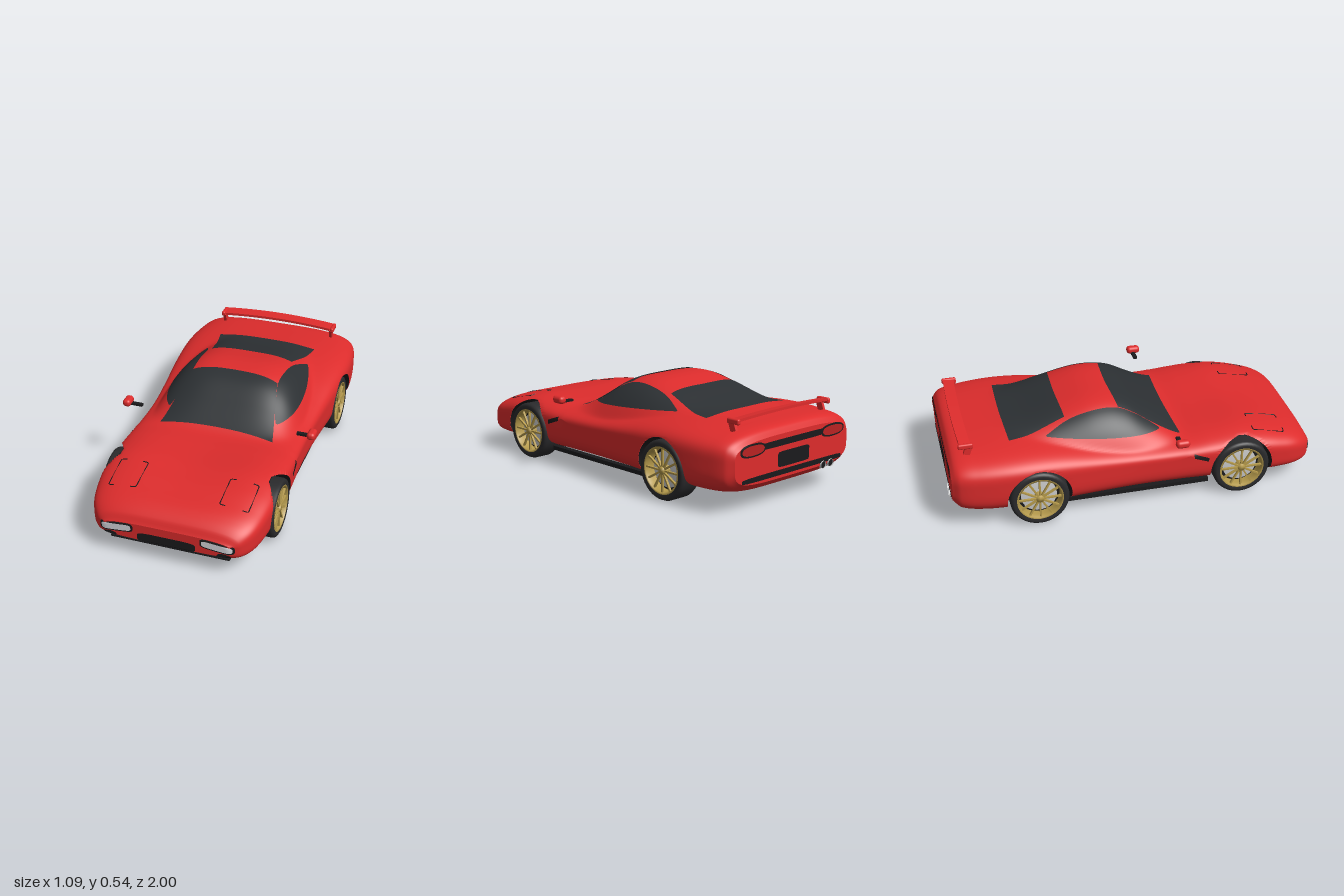
import * as THREE from 'three';
import { RoundedBoxGeometry } from 'three/addons/geometries/RoundedBoxGeometry.js';

const mat = (color) => new THREE.MeshStandardMaterial({ color, side: THREE.DoubleSide });
const RED = mat(0xdd2c2c), LIGHT = mat(0xb82222), GLASS = mat(0x2c3033), DARK = mat(0x1a1a1c), TYRE = mat(0x2a2a2c),
  GOLD = mat(0xb59a4c), SILVER = mat(0xcccccc), LAMP = mat(0xd8d8de);

// Smooth curve through [z, value] pairs (z descending)
function curve(pts) {
  const slope = (i) => {
    const a = pts[Math.max(i - 1, 0)], b = pts[Math.min(i + 1, pts.length - 1)];
    return (b[1] - a[1]) / (b[0] - a[0]);
  };
  return (z) => {
    if (z >= pts[0][0]) return pts[0][1];
    let i = 0;
    while (i < pts.length - 2 && z < pts[i + 1][0]) i++;
    const [z0, v0] = pts[i], [z1, v1] = pts[i + 1], h = z1 - z0, t = Math.min((z - z0) / h, 1);
    const s = t * t * (3 - 2 * t);
    return v0 + (v1 - v0) * s + h * t * (1 - t) * ((1 - t) * slope(i) - t * slope(i + 1));
  };
}

// Body lines: half width, deck height, widest level, underside, cabin ridge, hood dip
const Z0 = -0.99, Z1 = 0.995;
const width = curve([[0.995, 0.33], [0.97, 0.38], [0.9, 0.43], [0.8, 0.457], [0.65, 0.473], [0.4, 0.47], [0.2, 0.462], [0, 0.462],
  [-0.2, 0.475], [-0.4, 0.493], [-0.6, 0.505], [-0.72, 0.504], [-0.85, 0.49], [-0.95, 0.465], [-0.99, 0.43]]);
const deck = curve([[0.995, 0.2], [0.97, 0.248], [0.9, 0.29], [0.8, 0.32], [0.7, 0.343], [0.57, 0.36], [0.4, 0.35], [0.25, 0.336], [0, 0.34],
  [-0.2, 0.365], [-0.4, 0.398], [-0.55, 0.413], [-0.7, 0.416], [-0.85, 0.41], [-0.93, 0.403], [-0.97, 0.388], [-0.99, 0.36]]);
const middle = curve([[0.995, 0.155], [0.9, 0.18], [0.6, 0.23], [0, 0.25], [-0.6, 0.27], [-0.99, 0.26]]);
const under = curve([[0.995, 0.115], [0.96, 0.088], [0.9, 0.078], [0.6, 0.078], [-0.7, 0.078], [-0.85, 0.082], [-0.95, 0.1], [-0.99, 0.135]]);
const ridge = curve([[0.5, 0.2], [0.38, 0.265], [0.28, 0.325], [0.2, 0.375], [0.1, 0.44], [0, 0.503], [-0.08, 0.53], [-0.16, 0.538],
  [-0.25, 0.53], [-0.4, 0.493], [-0.55, 0.45], [-0.7, 0.415], [-0.85, 0.37], [-0.99, 0.3]]);
const dip = curve([[0.9, 0], [0.75, 0.01], [0.55, 0.022], [0.35, 0.012], [0.2, 0], [-1, 0]]);
const cabinWidth = curve([[0.3, 0.4], [0, 0.42], [-0.2, 0.42], [-0.5, 0.4], [-0.7, 0.38], [-1, 0.38]]);
const UP = 3.5, LOW = 4.5;

// Adds the hood dip and the cabin to a shell height
function raise(x, y, z) {
  const d = y - dip(z) * Math.max(0, 1 - (x / 0.36) ** 2) ** 2;
  const C = ridge(z), c = C - Math.max(C - 0.3, 0.03) * Math.min(Math.abs(x) / cabinWidth(z), 1.3) ** 4;
  return (d + c + Math.hypot(d - c, 0.015)) / 2;
}
const topY = (x, z) => raise(x, middle(z) + (deck(z) - middle(z)) * Math.max(0, 1 - Math.abs(x / width(z)) ** UP) ** (1 / UP), z);
function bodyX(y, z) {
  const m = middle(z), n = y > m ? UP : LOW, h = y > m ? deck(z) - m : m - under(z);
  return width(z) * Math.max(0, 1 - Math.abs((y - m) / h) ** n) ** (1 / n);
}
function bisect(inside, a, b) {
  for (let i = 0; i < 24; i++) { const m = (a + b) / 2; if (inside(m)) a = m; else b = m; }
  return a;
}
const cabinX = (y, z) => bisect((x) => topY(x, z) > y, 0.1, 0.46);
const endZ = (x, y, end) => bisect((z) => y < deck(z) && y > under(z) && bodyX(y, z) > Math.abs(x), end * 0.6, end > 0 ? Z1 : Z0);

const WHEELS = [[0.565, 0.412, 0.115], [-0.545, 0.428, 0.13]], WY = 0.157, ARCH = 0.173, WELL = 0.33;

// Lofted shell with open wheel arches
function bodyGeometry() {
  const NZ = 170, NU = 128, NL = 50, N = NU + NL, pos = [], idx = [];
  for (let i = 0; i <= NZ; i++) {
    const s = i / NZ * 2 - 1, z = THREE.MathUtils.mapLinear(0.45 * s + 0.55 * Math.sin(s * Math.PI / 2), -1, 1, Z0, Z1);
    const w = width(z), m = middle(z);
    for (let j = 0; j < N; j++) {
      const up = j <= NU, a = up ? Math.PI * j / NU : Math.PI * (1 + (j - NU) / NL), n = up ? UP : LOW;
      const c = Math.cos(a), sn = Math.sin(a), r = (Math.abs(c) ** n + Math.abs(sn) ** n) ** (-1 / n);
      const x = w * c * r, y = m + (up ? deck(z) - m : m - under(z)) * sn * r;
      pos.push(x, up && j > 0 && j < NU ? raise(x, y, z) : y, z);
    }
  }
  const arch = (k) => {
    const [x, y, z] = pos.slice(k * 3, k * 3 + 3);
    return Math.abs(x) < WELL ? null : WHEELS.find(([wz]) => Math.hypot(z - wz, y - WY) < ARCH);
  };
  const cut = Array.from({ length: pos.length / 3 }, (_, k) => arch(k)), snap = new Map();
  const tri = (...t) => {
    const hit = t.map((k) => cut[k]).find(Boolean);
    if (!hit) idx.push(...t);
    else t.forEach((k) => { if (!cut[k] && Math.abs(pos[k * 3]) > WELL) snap.set(k, hit[0]); });
  };
  for (let i = 0; i < NZ; i++) for (let j = 0; j < N; j++) {
    const a = i * N + j, b = i * N + (j + 1) % N;
    tri(a, b, a + N); tri(b, b + N, a + N);
  }
  snap.forEach((wz, k) => {
    const dz = pos[k * 3 + 2] - wz, dy = pos[k * 3 + 1] - WY, f = ARCH / Math.hypot(dz, dy);
    pos[k * 3 + 1] = WY + dy * f; pos[k * 3 + 2] = wz + dz * f;
  });
  // Nose and tail caps
  for (const [row, z, flip] of [[0, Z0, true], [NZ, Z1, false]]) {
    const c = pos.length / 3;
    pos.push(0, middle(z), z, ...pos.slice(row * N * 3, (row + 1) * N * 3));
    for (let j = 0; j < N; j++) {
      const a = c + 1 + j, b = c + 1 + (j + 1) % N;
      idx.push(c, flip ? b : a, flip ? a : b);
    }
  }
  return surface(pos, idx);
}
function surface(pos, idx) {
  const g = new THREE.BufferGeometry();
  g.setAttribute('position', new THREE.Float32BufferAttribute(pos, 3));
  g.setIndex(idx);
  g.computeVertexNormals();
  return g;
}
// Grid surface from a rule f(u, v) -> [x, y, z]
function patch(f, nu = 24, nv = 12) {
  const pos = [], idx = [];
  for (let i = 0; i <= nu; i++) for (let j = 0; j <= nv; j++) pos.push(...f(i / nu, j / nv));
  for (let i = 0; i < nu; i++) for (let j = 0; j < nv; j++) {
    const a = i * (nv + 1) + j, b = a + nv + 1;
    idx.push(a, b, a + 1, b, b + 1, a + 1);
  }
  return surface(pos, idx);
}
// Rounded panel laid on the nose (end = 1) or the tail (end = -1)
const panel = (end, cx, cy, a, b, n, lift, tilt = 0) => patch((u, v) => {
  const t = u * Math.PI * 2, c = Math.cos(t), s = Math.sin(t), r = v * (Math.abs(c) ** n + Math.abs(s) ** n) ** (-1 / n);
  const x = cx + a * c * r, y = cy + b * s * r + tilt * a * c * r;
  return [x, y, endZ(x, y, end) + end * lift];
}, 40, 6);

function makeWheel(w) {
  const g = new THREE.Group(), h = w / 2;
  const turn = (name, pts, m) => add(g, name, new THREE.LatheGeometry(pts.map((p) => new THREE.Vector2(...p)), 40).rotateZ(-Math.PI / 2), m);
  turn('tyre', [[0.122, -h], [0.14, -h], [0.152, -h + 0.006], [0.157, -h + 0.018], [0.157, h - 0.018], [0.152, h - 0.006], [0.14, h], [0.122, h - 0.004]], TYRE);
  turn('rim', [[0.124, h - 0.002], [0.114, h - 0.002], [0.112, h - 0.03], [0.112, -h], [0.124, -h]], GOLD);
  turn('brakeDisc', [[0.0, h - 0.045], [0.095, h - 0.045], [0.095, h - 0.055], [0, h - 0.055]], SILVER);
  turn('innerDisc', [[0, h - 0.06], [0.114, h - 0.06]], DARK);
  turn('hub', [[0, h - 0.002], [0.02, h - 0.004], [0.024, h - 0.045]], GOLD);
  for (let i = 0; i < 12; i++) {
    const s = new THREE.BoxGeometry(0.012, 0.1, 0.009).translate(h - 0.014, 0.066, 0).rotateX(i * Math.PI / 6);
    add(g, 'spoke', s, GOLD);
  }
  return g;
}
function add(parent, name, geometry, material, x = 0, y = 0, z = 0) {
  const m = new THREE.Mesh(geometry, material);
  m.name = name; m.position.set(x, y, z);
  parent.add(m);
  return m;
}

export function createModel() {
  const car = new THREE.Group();
  car.name = 'sportsCar';
  add(car, 'body', bodyGeometry(), RED);

  // Front and rear glass
  const glass = (name, zA, wA, zB, wB, bow) => add(car, name, patch((u, v) => {
    const k = u * 2 - 1, x = k * THREE.MathUtils.lerp(wA, wB, v), z = THREE.MathUtils.lerp(zA, zB, v) - bow * (1 - k * k);
    return [x, topY(x, z) + 0.005, z];
  }, 40, 24), GLASS);
  glass('windscreen', -0.07, 0.245, 0.255, 0.32, 0.018);
  glass('rearWindow', -0.36, 0.24, -0.665, 0.293, 0.01);

  const sillTop = curve([[0.14, 0.384], [0.08, 0.425], [0, 0.475], [-0.07, 0.503], [-0.15, 0.512], [-0.25, 0.502], [-0.36, 0.472], [-0.47, 0.424]]);
  for (const s of [1, -1]) {
    add(car, 'sideWindow', patch((u, v) => {
      const z = 0.14 - 0.61 * u, y = THREE.MathUtils.lerp(0.38 + 0.04 * u, sillTop(z), v);
      return [s * (cabinX(y, z) + 0.005), y, z];
    }, 36, 12), GLASS);
    add(car, 'sideVent', patch((u, v) => {
      const z = 0.375 - 0.08 * u, y = 0.232 + 0.03 * u + 0.024 * v;
      return [s * (bodyX(y, z) + 0.004), y, z];
    }, 6, 4), DARK);
    // Mirrors
    add(car, 'mirror', new RoundedBoxGeometry(0.045, 0.042, 0.075, 4, 0.018), RED, s * 0.523, 0.405, 0.21);
    add(car, 'mirrorStalk', new THREE.BoxGeometry(0.07, 0.012, 0.022), DARK, s * 0.475, 0.392, 0.205);
    // Nose lamps and intakes
    add(car, 'lampFrame', panel(1, s * 0.268, 0.172, 0.09, 0.026, 5, 0.003, s * -0.0 + s * -0.09), DARK);
    add(car, 'headlamp', panel(1, s * 0.268, 0.172, 0.08, 0.018, 5, 0.006, s * -0.09), LAMP);
    add(car, 'fogLamp', panel(1, s * 0.303, 0.124, 0.036, 0.016, 2, 0.003), DARK);
    // Seams of the lamp covers on the hood
    for (const k of [-1, 1]) {
      const seam = [[0.045, -0.09], [0.075, -0.085], [0.075, 0.085], [0.045, 0.09]].map(([dx, dz]) => {
        const x = s * 0.3 + k * dx, z = 0.74 + dz;
        return new THREE.Vector3(x, topY(x, z) + 0.001, z);
      });
      add(car, 'lampCoverSeam', new THREE.TubeGeometry(new THREE.CatmullRomCurve3(seam, false, 'catmullrom', 0.1), 30, 0.0028, 5), DARK);
    }
    // Tail lamps
    add(car, 'tailLampFrame', panel(-1, s * 0.305, 0.315, 0.092, 0.034, 2.4, 0.004), DARK);
    add(car, 'tailLamp', panel(-1, s * 0.305, 0.315, 0.08, 0.025, 2.4, 0.007), LIGHT);
    add(car, 'sill', new THREE.BoxGeometry(0.035, 0.022, 0.78), DARK, s * 0.41, 0.085, 0);

    for (const [wz, wx, w] of WHEELS) {
      // Wheel well: arch liner, inner wall and floor plate
      const a = (u) => -0.44 + u * (Math.PI + 0.88);
      add(car, 'archLiner', patch((u, v) => {
        const y = WY + ARCH * Math.sin(a(u)), z = wz + ARCH * Math.cos(a(u));
        return [s * THREE.MathUtils.lerp(WELL, Math.max(bodyX(y, z) - 0.002, WELL), v), y, z];
      }, 40, 4), DARK);
      add(car, 'wellWall', patch((u, v) => [s * WELL,
        THREE.MathUtils.lerp(0.08, WY + ARCH * Math.sin(a(u)), v), wz + ARCH * Math.cos(a(u))], 40, 2), DARK);
      add(car, 'wellPlate', new THREE.BoxGeometry(0.085, 0.006, 0.34), DARK, s * 0.295, 0.076, wz);
      const wheel = makeWheel(w);
      wheel.name = wz > 0 ? 'frontWheel' : 'rearWheel';
      wheel.position.set(s * wx, WY, wz);
      if (s < 0) wheel.rotation.y = Math.PI;
      car.add(wheel);
    }
    // Spoiler ends
    add(car, 'spoilerPost', new THREE.BoxGeometry(0.016, 0.06, 0.035).rotateX(0.35), RED, s * 0.335, 0.425, -0.885);
    add(car, 'spoilerEnd', new RoundedBoxGeometry(0.022, 0.03, 0.08, 3, 0.009), RED, s * 0.343, 0.45, -0.898);
  }
  const wing = new THREE.BoxGeometry(0.68, 0.014, 0.06, 24, 1, 1), p = wing.attributes.position;
  for (let i = 0; i < p.count; i++) {
    const k = 1 - (p.getX(i) / 0.34) ** 2;
    p.setY(i, p.getY(i) + 0.012 * k - p.getZ(i) * 0.15);
    p.setZ(i, p.getZ(i) - 0.01 * k);
  }
  wing.computeVertexNormals();
  add(car, 'spoiler', wing, RED, 0, 0.452, -0.9);

  // Nose grille and splitter
  add(car, 'grille', panel(1, 0, 0.138, 0.155, 0.026, 5, 0.003), DARK);
  add(car, 'splitter', new THREE.BoxGeometry(0.64, 0.008, 0.08), DARK, 0, 0.073, 0.915);
  // Tail trim, plate and exhausts
  add(car, 'tailBand', panel(-1, 0, 0.318, 0.26, 0.017, 6, 0.003), DARK);
  add(car, 'plateRecess', panel(-1, 0, 0.232, 0.12, 0.04, 12, 0.004), DARK);
  add(car, 'tailSlot', panel(-1, 0, 0.165, 0.38, 0.014, 6, 0.003), DARK);
  for (const x of [-0.235, -0.295]) {
    add(car, 'exhaust', new THREE.CylinderGeometry(0.02, 0.02, 0.06, 20, 1, true).rotateX(Math.PI / 2), SILVER, x, 0.14, -0.97);
    add(car, 'exhaustCore', new THREE.CircleGeometry(0.019, 20), DARK, x, 0.14, -0.994);
  }
  return car;
}
